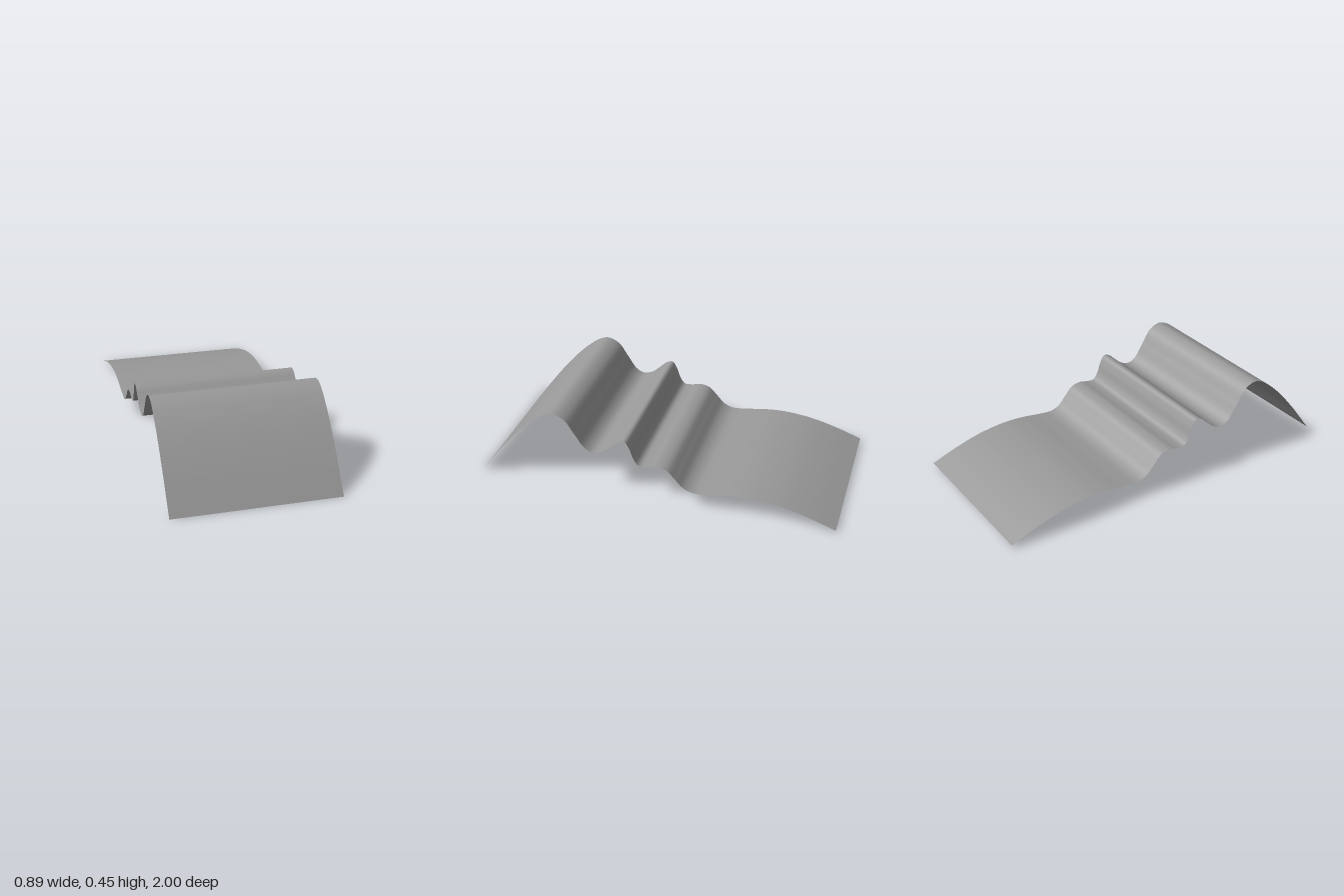
import * as THREE from 'three';

// Side profile of the sheet as [z, y], from the back edge to the front edge
const PROFILE = [
  [-1, 0.018], [-0.85, 0.07], [-0.7, 0.108], [-0.54, 0.124], [-0.42, 0.117],
  [-0.31, 0.1], [-0.225, 0.094], [-0.175, 0.114], [-0.128, 0.163], [-0.08, 0.211],
  [-0.025, 0.223], [0.03, 0.211], [0.073, 0.211], [0.1, 0.245], [0.122, 0.305],
  [0.15, 0.349], [0.182, 0.342], [0.23, 0.3], [0.28, 0.258], [0.335, 0.244],
  [0.38, 0.268], [0.433, 0.345], [0.487, 0.422], [0.552, 0.45], [0.61, 0.432],
  [0.67, 0.388], [0.75, 0.312], [0.87, 0.172], [1, 0],
];
const WIDTH = 0.888;
const STEPS = 240;

export function createModel() {
  const group = new THREE.Group();
  group.name = 'wavySheet';

  const curve = new THREE.CatmullRomCurve3(
    PROFILE.map(([z, y]) => new THREE.Vector3(0, y, z)), false, 'centripetal');
  curve.arcLengthDivisions = 1000;
  const points = curve.getSpacedPoints(STEPS);

  // Each row of the plane is laid on one point of the profile
  const geometry = new THREE.PlaneGeometry(WIDTH, 1, 1, STEPS);
  const position = geometry.attributes.position;
  for (let i = 0; i < position.count; i++) {
    const p = points[Math.floor(i / 2)];
    position.setXYZ(i, position.getX(i), THREE.MathUtils.clamp(p.y, 0, 0.45), p.z);
  }
  geometry.computeVertexNormals();

  const sheet = new THREE.Mesh(geometry, new THREE.MeshStandardMaterial({
    color: 0x999999, side: THREE.DoubleSide,
  }));
  sheet.name = 'sheet';
  group.add(sheet);
  return group;
}
